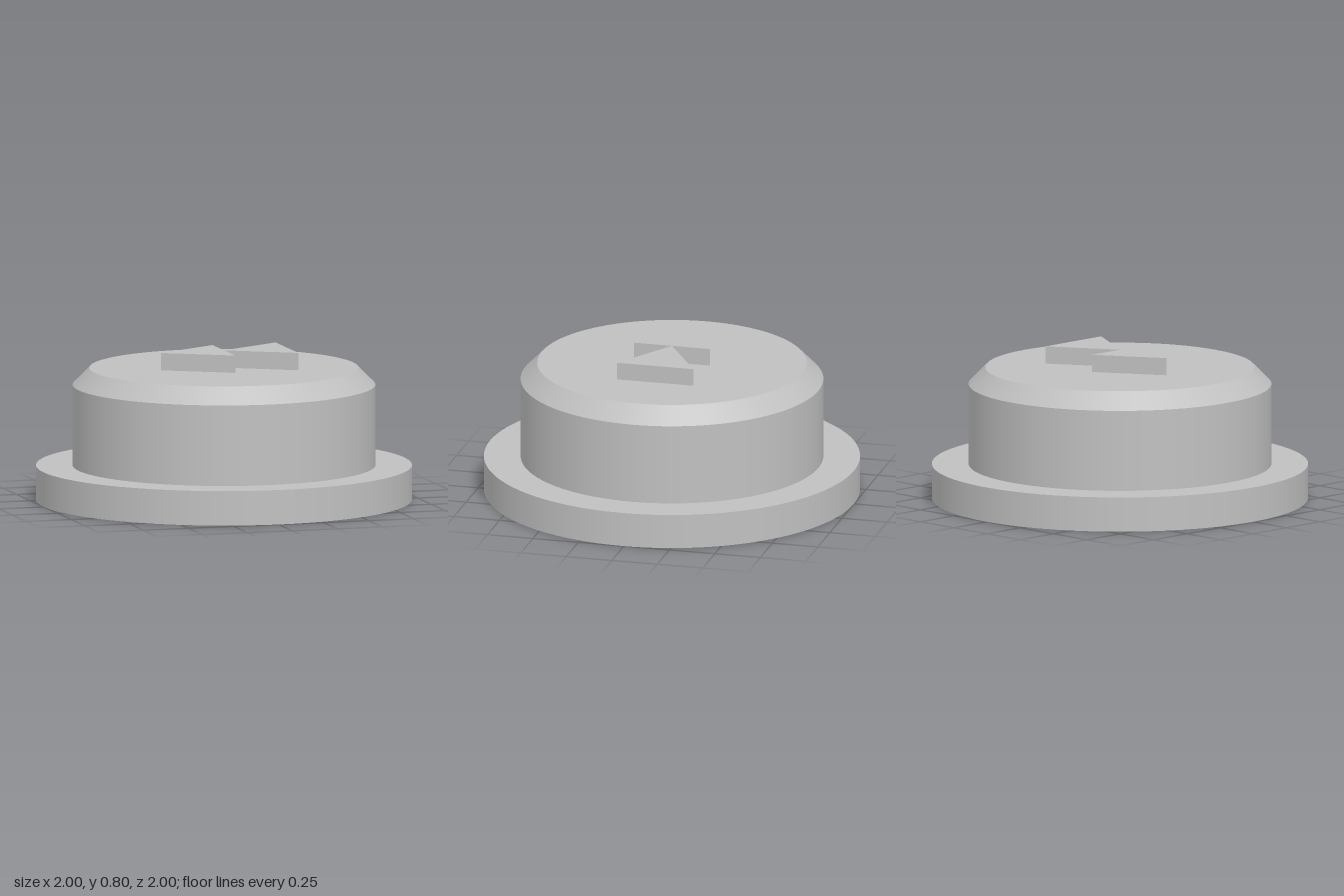
import * as THREE from 'three';

const SEGMENTS = 128;

export function createModel() {
  const group = new THREE.Group();
  group.name = 'pushButton';
  const grey = new THREE.MeshStandardMaterial({ color: 0xc0c0c0 });
  grey.name = 'grey';

  function add(name, geometry) {
    const mesh = new THREE.Mesh(geometry, grey);
    mesh.name = name;
    group.add(mesh);
  }

  // Round layer between two heights
  function layer(name, topRadius, bottomRadius, y0, y1, open = false) {
    const geometry = new THREE.CylinderGeometry(topRadius, bottomRadius, y1 - y0, SEGMENTS, 1, open);
    geometry.translate(0, (y0 + y1) / 2, 0);
    add(name, geometry);
  }

  layer('baseFlange', 1, 1, 0, 0.185);
  layer('capWall', 0.805, 0.805, 0.185, 0.617, true);
  layer('capBevelAndTop', 0.716, 0.805, 0.617, 0.707);

  // Pair of raised triangles pointing to -x
  for (const [name, tipX] of [['rightArrow', -0.35], ['leftArrow', 0]]) {
    const shape = new THREE.Shape([
      new THREE.Vector2(tipX, 0),
      new THREE.Vector2(tipX + 0.35, -0.21),
      new THREE.Vector2(tipX + 0.35, 0.21),
    ]);
    const geometry = new THREE.ExtrudeGeometry(shape, { depth: 0.093, bevelEnabled: false });
    geometry.rotateX(-Math.PI / 2);
    geometry.translate(0, 0.707, 0);
    add(name, geometry);
  }

  return group;
}
